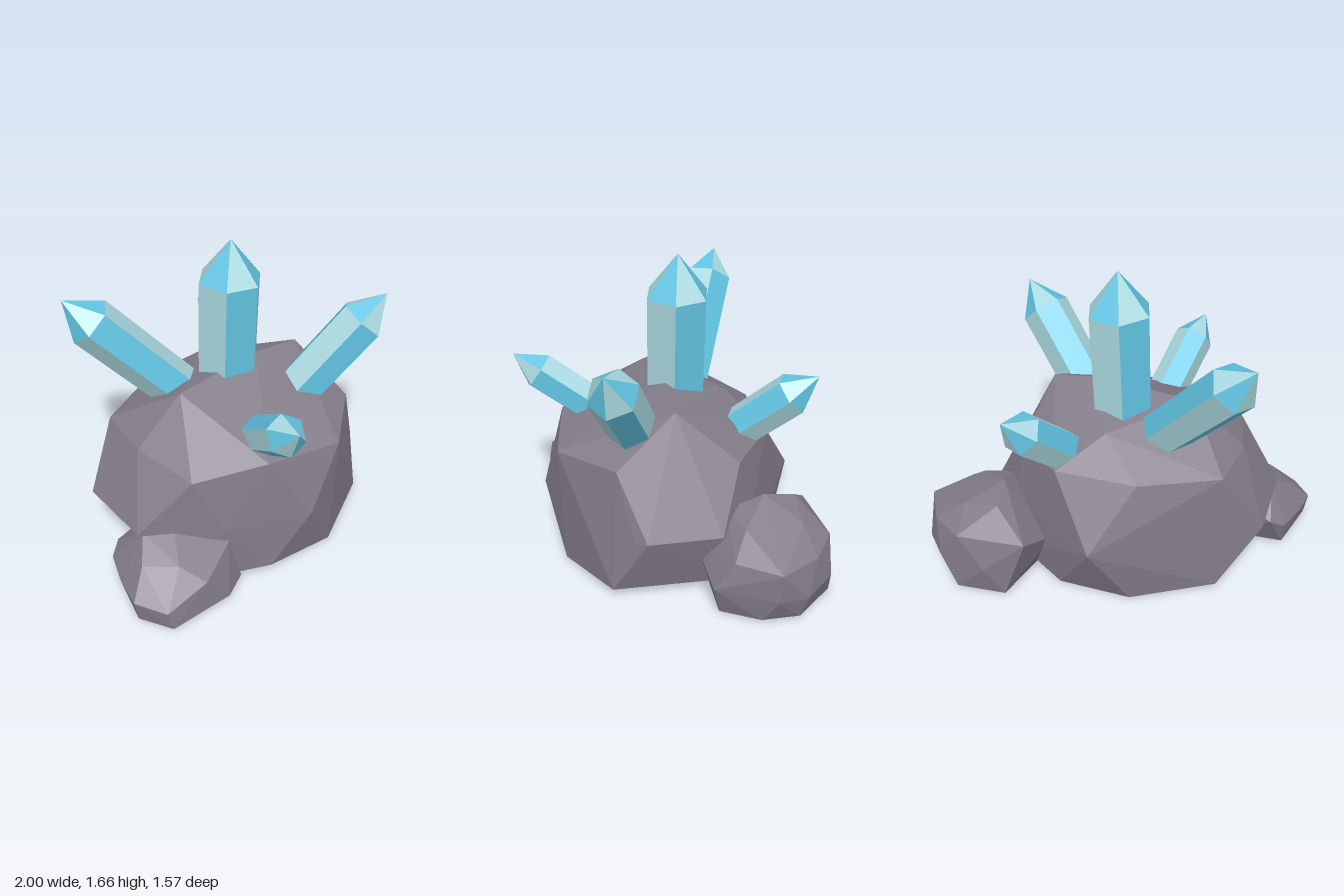
import * as THREE from 'three';
import { ConvexGeometry } from 'three/addons/geometries/ConvexGeometry.js';

const stone = new THREE.MeshStandardMaterial({ color: 0x837c8a });
stone.name = 'stone grey';
const pale = new THREE.MeshStandardMaterial({ color: 0xa9d8df });
pale.name = 'pale crystal';
const blue = new THREE.MeshStandardMaterial({ color: 0x62c4e2 });
blue.name = 'blue crystal';

const V = (a) => new THREE.Vector3(...a);

// Faceted boulder: the hull of a few corner points
function rock(name, corners) {
  const mesh = new THREE.Mesh(new ConvexGeometry(corners.map(V)), stone);
  mesh.name = name;
  return mesh;
}

// Six flat faces in alternating colours
function facet(geometry, perFace, first) {
  const g = geometry.toNonIndexed();
  g.computeVertexNormals();
  g.clearGroups();
  for (let i = 0; i < 6; i++) g.addGroup(i * perFace, perFace, (i + first) % 2);
  return g;
}

// Hexagonal crystal running from its root inside the rock to its point
function crystal(name, root, point, radius, tip, spin) {
  const a = V(root), b = V(point);
  const dir = b.clone().sub(a).normalize();
  a.addScaledVector(dir, -0.15); // bury the root
  const shaftLength = a.distanceTo(b) - tip;
  const group = new THREE.Group();
  group.name = name;

  const shaftGeo = new THREE.CylinderGeometry(radius, radius * 0.97, shaftLength, 6, 1, true);
  const shaft = new THREE.Mesh(facet(shaftGeo, 6, 0), [pale, blue]);
  shaft.name = 'shaft';
  shaft.position.y = shaftLength / 2;

  const tipGeo = new THREE.CylinderGeometry(0, radius, tip, 6, 1, true);
  const cap = new THREE.Mesh(facet(tipGeo, 3, 1), [pale, blue]);
  cap.name = 'tip';
  cap.position.y = shaftLength + tip / 2;

  const turned = new THREE.Group();
  turned.name = 'prism';
  turned.rotation.y = THREE.MathUtils.degToRad(spin);
  turned.add(shaft, cap);
  group.add(turned);
  group.position.copy(a);
  group.quaternion.setFromUnitVectors(new THREE.Vector3(0, 1, 0), dir);
  return group;
}

export function createModel() {
  const model = new THREE.Group();
  model.name = 'crystalCluster';

  model.add(rock('mainRock', [
    // crown
    [0.12, 0.99, 0], [0.41, 0.96, 0], [-0.38, 0.93, 0], [0, 0.87, -0.35],
    // shoulder
    [-0.58, 0.66, 0.36], [-0.22, 0.715, 0.53], [0.21, 0.68, 0.59], [0.52, 0.71, 0.32],
    [0.5, 0.69, -0.32], [0.22, 0.71, -0.53], [-0.22, 0.71, -0.53], [-0.62, 0.7, -0.33],
    [-0.66, 0.7, 0],
    // waist
    [-0.02, 0.37, 0.655], [0.65, 0.36, 0.25], [0.69, 0.37, 0.19], [0.69, 0.37, -0.2],
    [0.48, 0.36, -0.4], [-0.02, 0.36, -0.73], [-0.83, 0.36, -0.22], [-0.83, 0.36, 0.22],
    [-0.45, 0.36, 0.47],
    // foot
    [0.2, 0, 0.57], [-0.23, 0.06, 0.58], [0.6, 0.05, 0.36], [0.6, 0.04, -0.34],
    [-0.62, 0.02, 0.38], [-0.62, 0.02, -0.36], [0.2, 0, -0.57], [-0.2, 0, -0.58],
    [0.5, 0, 0.3], [0.5, 0, -0.3], [-0.55, 0, 0.3], [-0.55, 0, -0.3],
  ]));

  model.add(rock('backRock', [
    [0.55, 0.52, -0.44], [0.52, 0.48, -0.62], [0.72, 0.44, -0.6], [0.74, 0.44, -0.3],
    [0.55, 0.45, -0.25], [1, 0.33, -0.43], [0.88, 0.33, -0.64], [0.86, 0.33, -0.22],
    [0.96, 0.15, -0.58], [0.84, 0.17, -0.12], [0.99, 0.16, -0.42], [0.7, 0.34, -0.76],
    [0.55, 0.17, -0.79], [0.82, 0.17, -0.74], [0.33, 0.34, -0.73], [0.93, 0.02, -0.55],
    [0.93, 0.02, -0.35], [0.8, 0, -0.16], [0.72, 0, -0.77], [0.45, 0, -0.75],
    [0.28, 0.2, -0.45], [0.55, 0.25, -0.09], [0.35, 0, -0.3],
  ]));

  model.add(rock('frontRock', [
    [-0.65, 0.38, 0.28], [-0.8, 0.36, 0.22], [-0.75, 0.28, 0.47], [-0.45, 0.37, 0.3],
    [-0.44, 0.28, 0.48], [-0.66, 0.2, 0.58], [-0.89, 0.27, 0.34], [-1, 0.14, 0.42],
    [-0.97, 0.14, 0.26], [-0.91, 0.15, 0.08], [-0.84, 0.2, 0.03], [-0.98, 0.02, 0.42],
    [-0.88, 0.02, 0.59], [-0.9, 0.12, 0.57], [-0.53, 0.04, 0.6], [-0.39, 0.04, 0.52],
    [-0.9, 0.01, 0.12], [-0.5, 0.01, 0.1], [-0.6, 0.3, 0.05],
  ]));

  model.add(
    crystal('centreCrystal', [-0.005, 0.95, -0.08], [0.02, 1.66, -0.08], 0.175, 0.22, 17),
    crystal('rightCrystal', [-0.31, 0.88, -0.21], [-0.77, 1.42, -0.45], 0.135, 0.19, 25),
    crystal('leftCrystal', [0.31, 0.83, 0.2], [0.7, 1.32, 0.39], 0.135, 0.19, 4),
    crystal('frontCrystal', [-0.15, 0.79, 0.4], [-0.25, 1.055, 0.78], 0.11, 0.17, 105),
    crystal('backCrystal', [0.21, 0.73, -0.37], [0.4, 1.095, -0.745], 0.115, 0.17, -56),
  );
  return model;
}
